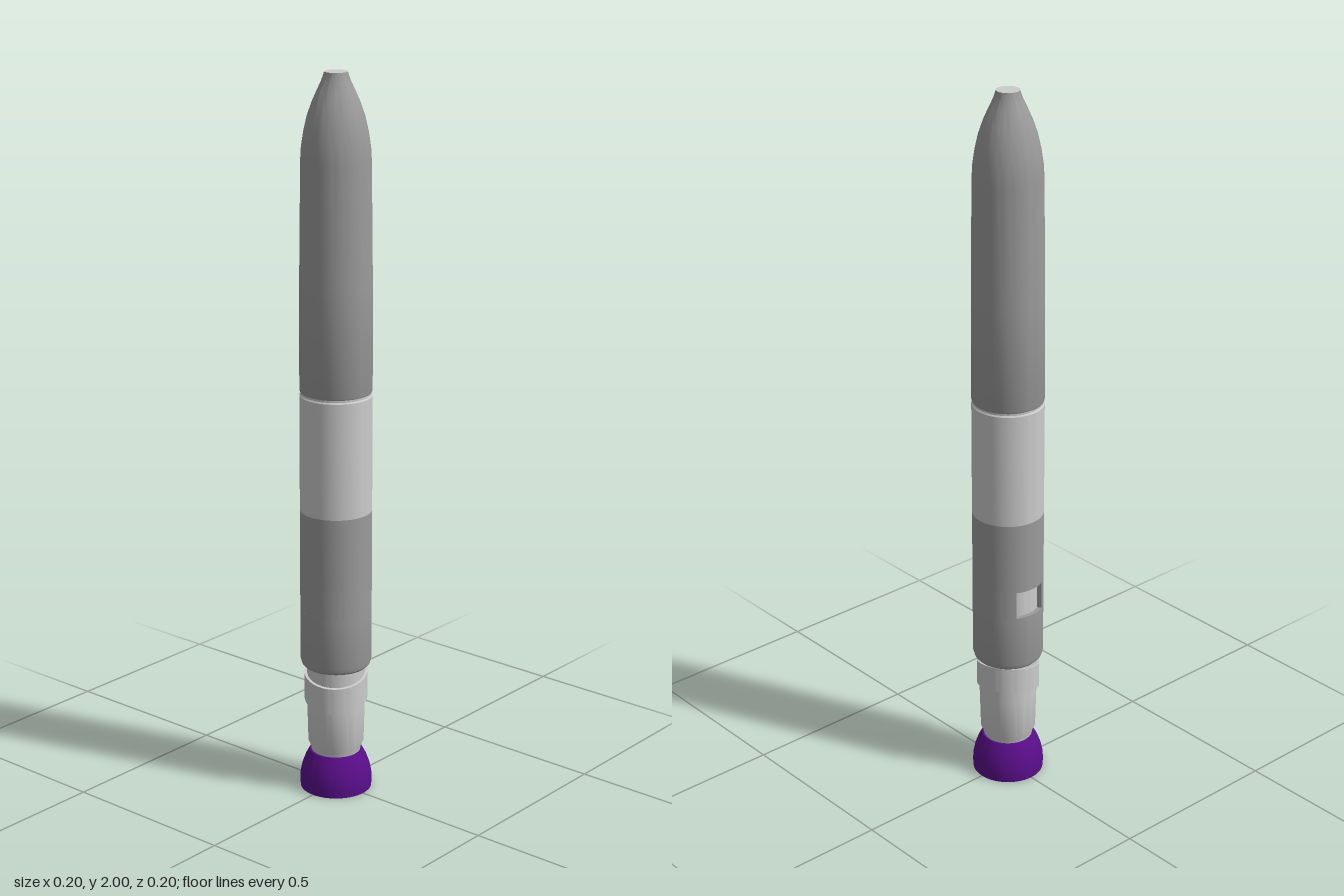
import * as THREE from 'three';
import { toCreasedNormals } from 'three/addons/utils/BufferGeometryUtils.js';

const SEG = 64;
const light = new THREE.MeshStandardMaterial({ color: 0xcccccc });
const dark = new THREE.MeshStandardMaterial({ color: 0x9b9b9b });
const purple = new THREE.MeshStandardMaterial({ color: 0x5a0e8a });

// Turned part from [radius, y] pairs, listed bottom to top on the outside
function turned(name, material, profile, start = 0, sweep = Math.PI * 2) {
  const points = profile.map(([r, y]) => new THREE.Vector2(r, y));
  const geometry = new THREE.LatheGeometry(points, SEG, start, sweep);
  const mesh = new THREE.Mesh(toCreasedNormals(geometry, 0.45), material);
  mesh.name = name;
  return mesh;
}

export function createModel() {
  const model = new THREE.Group();
  model.name = 'penInjector';

  // Flared foot
  model.add(turned('foot', purple, [
    [0, 0], [0.099, 0], [0.1, 0.02], [0.099, 0.04], [0.094, 0.063],
    [0.085, 0.088], [0.073, 0.11], [0, 0.11],
  ]));

  // Inner shaft, running up behind the window
  model.add(turned('shaft', light, [
    [0, 0.1], [0.067, 0.1], [0.069, 0.12], [0.077, 0.137], [0.08, 0.25],
    [0.08, 0.75], [0, 0.75],
  ]));

  // Slanted collar around the shaft: a straight ring sheared along y
  const collar = new THREE.LatheGeometry(
    [[0.078, 0], [0.0875, 0], [0.0875, 0.075], [0.078, 0.075]].map((p) => new THREE.Vector2(...p)), SEG);
  const pos = collar.attributes.position;
  for (let i = 0; i < pos.count; i++) {
    pos.setY(i, pos.getY(i) + 0.268 + 0.2 * pos.getX(i) - 0.14 * pos.getZ(i));
  }
  const collarMesh = new THREE.Mesh(toCreasedNormals(collar, 0.45), light);
  collarMesh.name = 'slantedCollar';
  model.add(collarMesh);

  // Lower housing, split so that a window stays open at the back
  const R = 0.098, r = 0.086, y0 = 0.53, y1 = 0.61, half = 0.49;
  const housing = new THREE.Group();
  housing.name = 'lowerHousing';
  housing.add(turned('housingBottom', dark, [
    [0.08, 0.365], [0.088, 0.365], [0.094, 0.371], [R, 0.385], [R, y0], [r, y0], [r, 0.375],
  ]));
  housing.add(turned('windowWall', dark, [[R, y0], [R, y1], [r, y1], [r, y0]],
    Math.PI + half, 2 * (Math.PI - half)));
  housing.add(turned('housingTop', dark, [[r, 0.8], [r, y1], [R, y1], [R, 0.815]]));
  const jambMaterial = dark.clone();
  jambMaterial.side = THREE.DoubleSide;
  for (const side of [-1, 1]) {
    const angle = Math.PI + side * half, mid = (R + r) / 2;
    const jamb = new THREE.Mesh(new THREE.PlaneGeometry(R - r, y1 - y0), jambMaterial);
    jamb.name = 'windowJamb';
    jamb.position.set(mid * Math.sin(angle), (y0 + y1) / 2, mid * Math.cos(angle));
    jamb.rotation.y = angle - Math.PI / 2;
    housing.add(jamb);
  }
  model.add(housing);

  // Pale middle band, ending in the narrow groove under the cap
  model.add(turned('middleBand', light, [
    [R, 0.815], [R, 1.138], [0.095, 1.142], [0.095, 1.152],
  ]));

  // Tapered cap with a blunt nose
  model.add(turned('cap', dark, [
    [0.09, 1.148], [0.096, 1.148], [R, 1.153], [0.097, 1.45], [0.093, 1.77],
    [0.091, 1.805], [0.085, 1.845], [0.076, 1.885], [0.064, 1.92],
    [0.05, 1.952], [0.039, 1.975], [0.033, 1.992], [0.031, 2],
  ]));
  model.add(turned('noseTip', light, [[0.031, 2], [0, 2]]));

  return model;
}
